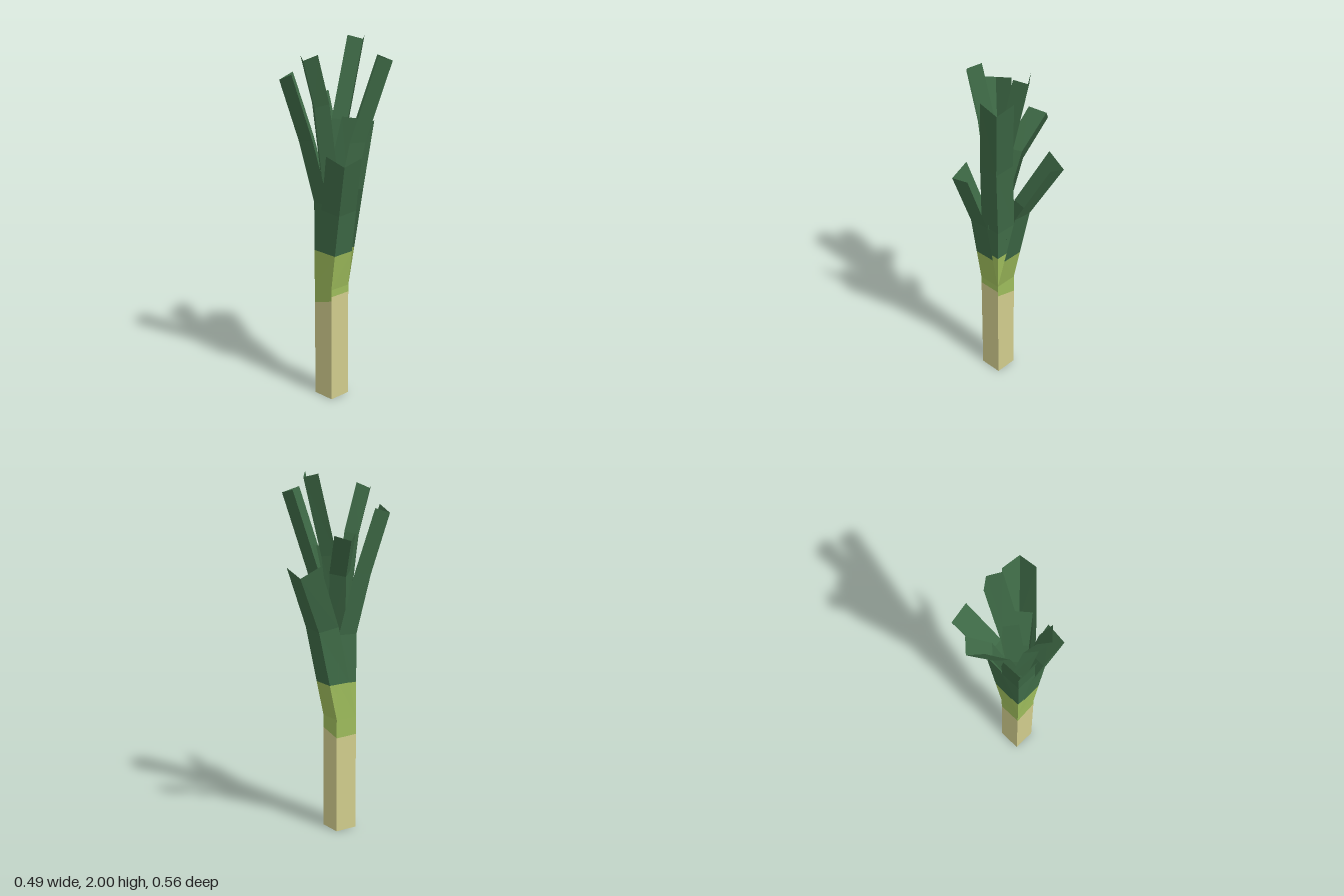
import * as THREE from 'three';

const mat = (name, color) => {
  const m = new THREE.MeshStandardMaterial({ color, side: THREE.DoubleSide, flatShading: true });
  m.name = name;
  return m;
};

// Surface stretched between rows of points (each row has the same count)
function strip(name, rows, material) {
  const pos = [];
  for (let i = 0; i + 1 < rows.length; i++) {
    for (let j = 0; j + 1 < rows[i].length; j++) {
      const a = rows[i][j], b = rows[i][j + 1], c = rows[i + 1][j + 1], d = rows[i + 1][j];
      pos.push(...a, ...b, ...c, ...a, ...c, ...d);
    }
  }
  const g = new THREE.BufferGeometry();
  g.setAttribute('position', new THREE.Float32BufferAttribute(pos, 3));
  g.computeVertexNormals();
  const mesh = new THREE.Mesh(g, material);
  mesh.name = name;
  return mesh;
}

const TOP = 0.65, TINT = 0.85;
const X0 = -0.05, X1 = 0.08, Z0 = 0.01, Z1 = 0.14, XM = 0.015, ZM = 0.075;

// Each leaf is a folded V: base and tip as [edge, fold, edge], mids are bends of the fold
const leaves = [
  { name: 'frontRightOuterLeaf', base: [[X0, Z1], [X1, Z1], [X1, Z0]], mids: [[0.145, 1.08, 0.145]],
    tip: [[0.11, 1.41, 0.205], [0.23, 1.37, 0.19], [0.235, 1.40, 0.07]] },
  { name: 'backLeftOuterLeaf', base: [[X0, Z1], [X0, Z0], [X1, Z0]], mids: [[-0.05, 1.15, -0.105]],
    tip: [[-0.14, 1.52, -0.155], [-0.125, 1.465, -0.27], [-0.01, 1.51, -0.28]] },
  { name: 'frontLeftLeaf', base: [[X1, Z1], [X0, Z1], [X0, Z0]], mids: [[-0.05, 1.12, 0.14], [-0.11, 1.45, 0.19]],
    tip: [[-0.07, 1.82, 0.275], [-0.175, 1.78, 0.265], [-0.185, 1.81, 0.16]] },
  { name: 'backRightLeaf', base: [[X0, Z0], [X1, Z0], [X1, Z1]], mids: [[0.08, 1.02, 0.005], [0.145, 1.45, -0.05]],
    tip: [[0.125, 1.90, -0.155], [0.24, 1.88, -0.15], [0.24, 1.91, -0.04]] },
  { name: 'leftInnerLeaf', base: [[XM, Z0], [X0, ZM], [XM, Z1]], mids: [[-0.05, 1.13, 0.065], [-0.12, 1.45, 0.02]],
    tip: [[-0.185, 1.68, -0.10], [-0.245, 1.655, -0.035], [-0.185, 1.69, 0.035]] },
  { name: 'rightInnerLeaf', base: [[XM, Z0], [X1, ZM], [XM, Z1]], mids: [[0.08, 1.0, 0.075], [0.11, 1.3, 0.055]],
    tip: [[0.095, 1.61, -0.05], [0.165, 1.59, 0.02], [0.1, 1.6, 0.08]] },
  { name: 'frontInnerLeaf', base: [[X0, ZM], [XM, Z1], [X1, ZM]], mids: [[0.015, 1.2, 0.135], [0.02, 1.65, 0.2]],
    tip: [[-0.045, 1.92, 0.235], [0.02, 1.90, 0.275], [0.075, 1.93, 0.225]] },
  { name: 'backInnerLeaf', base: [[X0, ZM], [XM, Z0], [X1, ZM]], mids: [[0.015, 1.15, 0.01], [0.017, 1.55, -0.045]],
    tip: [[-0.045, 1.99, -0.105], [0.02, 1.97, -0.155], [0.08, 2.0, -0.105]] },
];

function makeLeaf({ name, base, mids, tip }, pale, dark) {
  const root = base.map(([x, z]) => new THREE.Vector3(x, TOP, z));
  const end = tip.map((p) => new THREE.Vector3(...p));
  const first = new THREE.Vector3(...mids[0]);
  const tint = root[1].clone().lerp(first, (TINT - TOP) / (first.y - TOP));
  const folds = [root[1], tint, ...mids.map((p) => new THREE.Vector3(...p)), end[1]];
  // Edges keep their offset from the fold, easing from root to tip
  const rows = folds.map((f) => {
    const t = (f.y - TOP) / (end[1].y - TOP);
    return [0, 1, 2].map((j) => {
      const a = root[j].clone().sub(root[1]), b = end[j].clone().sub(end[1]);
      b.y *= t;
      return f.clone().add(a.lerp(b, t)).toArray();
    });
  });
  const g = new THREE.Group();
  g.name = name;
  g.add(strip(name + 'Base', rows.slice(0, 2), pale), strip(name + 'Blade', rows.slice(1), dark));
  return g;
}

export function createModel() {
  const cream = mat('cream', 0xd0cc8c);
  const pale = mat('paleGreen', 0x9dbb5b);
  const dark = mat('darkGreen', 0x3f6b47);
  const model = new THREE.Group();
  model.name = 'leek';

  // Square stem; each side has its own slanted colour boundary
  const sides = [
    ['stemFront', [X0, Z1], [X1, Z1], 0.545, 0.585],
    ['stemRight', [X1, Z1], [X1, Z0], 0.61, 0.61],
    ['stemBack', [X1, Z0], [X0, Z0], 0.58, 0.545],
    ['stemLeft', [X0, Z0], [X0, Z1], 0.545, 0.55],
  ];
  for (const [name, a, b, ya, yb] of sides) {
    const row = (y0, y1) => [[a[0], y0, a[1]], [b[0], y1, b[1]]];
    model.add(strip(name + 'Lower', [row(0, 0), row(ya, yb)], cream));
    model.add(strip(name + 'Upper', [row(ya, yb), row(TOP, TOP)], pale));
  }

  // Root end and inner floor between the leaves
  const cap = (y) => [[[X0, y, Z1], [X1, y, Z1]], [[X0, y, Z0], [X1, y, Z0]]];
  model.add(strip('rootEnd', cap(0).reverse(), dark), strip('innerFloor', cap(TOP), pale));

  for (const leaf of leaves) model.add(makeLeaf(leaf, pale, dark));
  return model;
}
